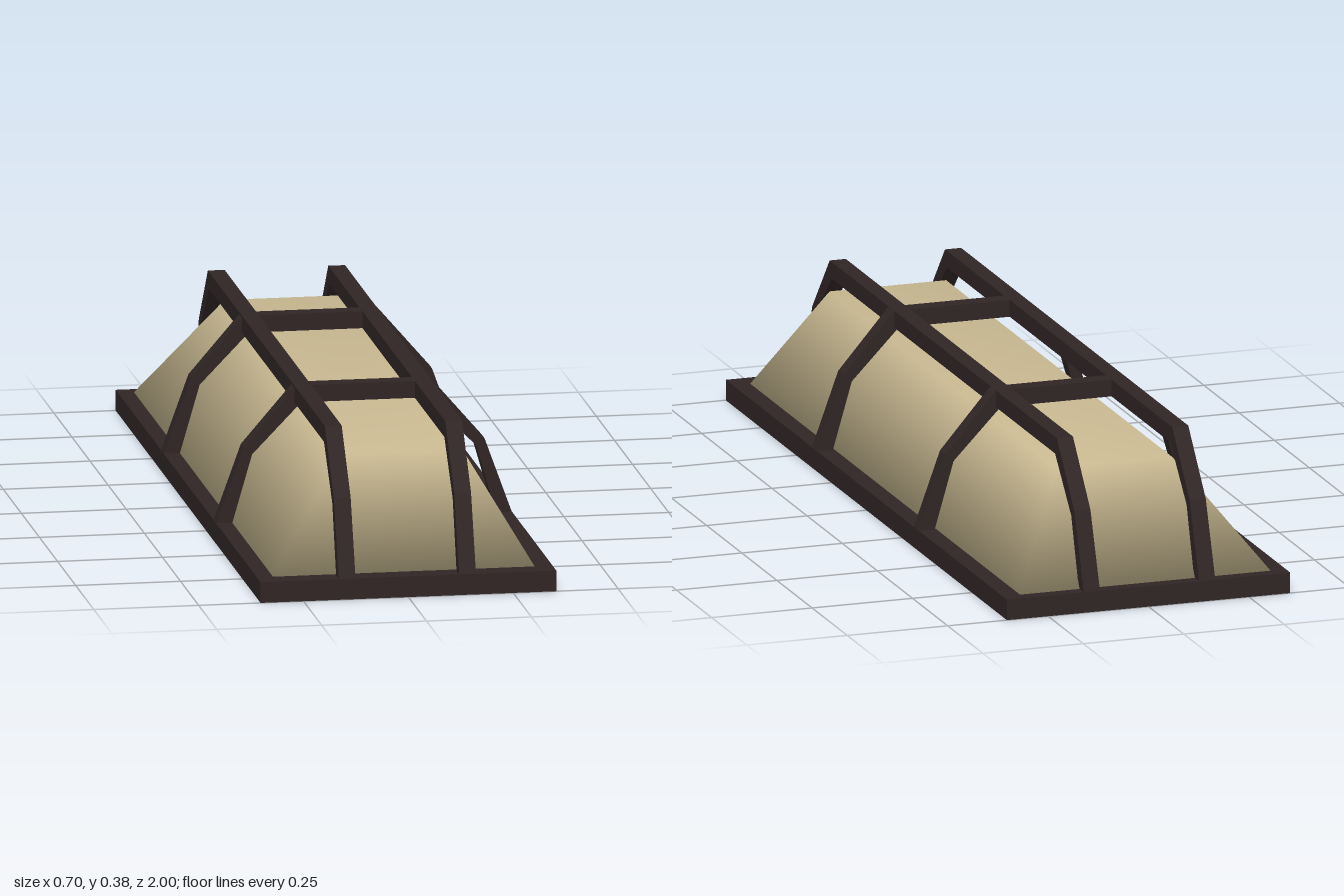
import * as THREE from 'three';
import { mergeVertices } from 'three/addons/utils/BufferGeometryUtils.js';

const darkFrame = new THREE.MeshStandardMaterial({ color: 0x302525 });
const sandCloth = new THREE.MeshStandardMaterial({ color: 0xcfbf96 });

// A bent bar: one foot, two knees and a straight top, cut as a flat strip.
// Outer and inner outlines run from the top corner down to the foot on one side.
function archGeometry(outer, inner, width) {
  const flip = (pts) => pts.map(([a, y]) => [-a, y]);
  const outline = [
    ...flip(outer).reverse(), ...outer,
    ...[...inner].reverse(), ...flip(inner),
  ];
  const shape = new THREE.Shape(outline.map(([a, y]) => new THREE.Vector2(a, y)));
  const geometry = new THREE.ExtrudeGeometry(shape, { depth: width, bevelEnabled: false });
  return geometry.translate(0, 0, -width / 2);
}

// Smoothly shaded block that tapers towards a smaller top
function taperedBlock(bottom, top) {
  const box = new THREE.BoxGeometry(1, 1, 1);
  box.deleteAttribute('uv');
  box.deleteAttribute('normal');
  const geometry = mergeVertices(box);
  const p = geometry.attributes.position;
  for (let i = 0; i < p.count; i++) {
    const end = p.getY(i) > 0 ? top : bottom;
    p.setXYZ(i, end.x[p.getX(i) > 0 ? 1 : 0], end.y, end.z[p.getZ(i) > 0 ? 1 : 0]);
  }
  geometry.computeVertexNormals();
  return geometry;
}

export function createModel() {
  const model = new THREE.Group();
  model.name = 'framedCover';

  const add = (name, geometry, material, x = 0, y = 0, z = 0) => {
    const mesh = new THREE.Mesh(geometry, material);
    mesh.name = name;
    mesh.position.set(x, y, z);
    model.add(mesh);
  };

  // Flat base slab
  add('base', new THREE.BoxGeometry(0.705, 0.05, 2), darkFrame, 0, 0.025, 0);

  // Cloth body, slightly off centre
  add('coverBody', taperedBlock(
    { x: [-0.315, 0.31], y: 0.049, z: [-0.97, 0.95] },
    { x: [-0.126, 0.164], y: 0.302, z: [-0.81, 0.8] },
  ), sandCloth);

  // Two long rails that bend down at the front and back
  const rail = archGeometry(
    [[0.808, 0.375], [0.932, 0.23], [1, 0.05]],
    [[0.795, 0.334], [0.91, 0.213], [0.963, 0.05]],
    0.04,
  ).rotateY(-Math.PI / 2);
  add('leftRail', rail, darkFrame, 0.141, 0, 0);
  add('rightRail', rail, darkFrame, -0.146, 0, 0);

  // Two hoops across the cover
  const hoop = archGeometry(
    [[0.162, 0.375], [0.287, 0.23], [0.352, 0.05]],
    [[0.15, 0.334], [0.267, 0.213], [0.314, 0.05]],
    0.04,
  );
  add('frontHoop', hoop, darkFrame, 0, 0, 0.368);
  add('backHoop', hoop, darkFrame, 0, 0, -0.356);

  return model;
}
